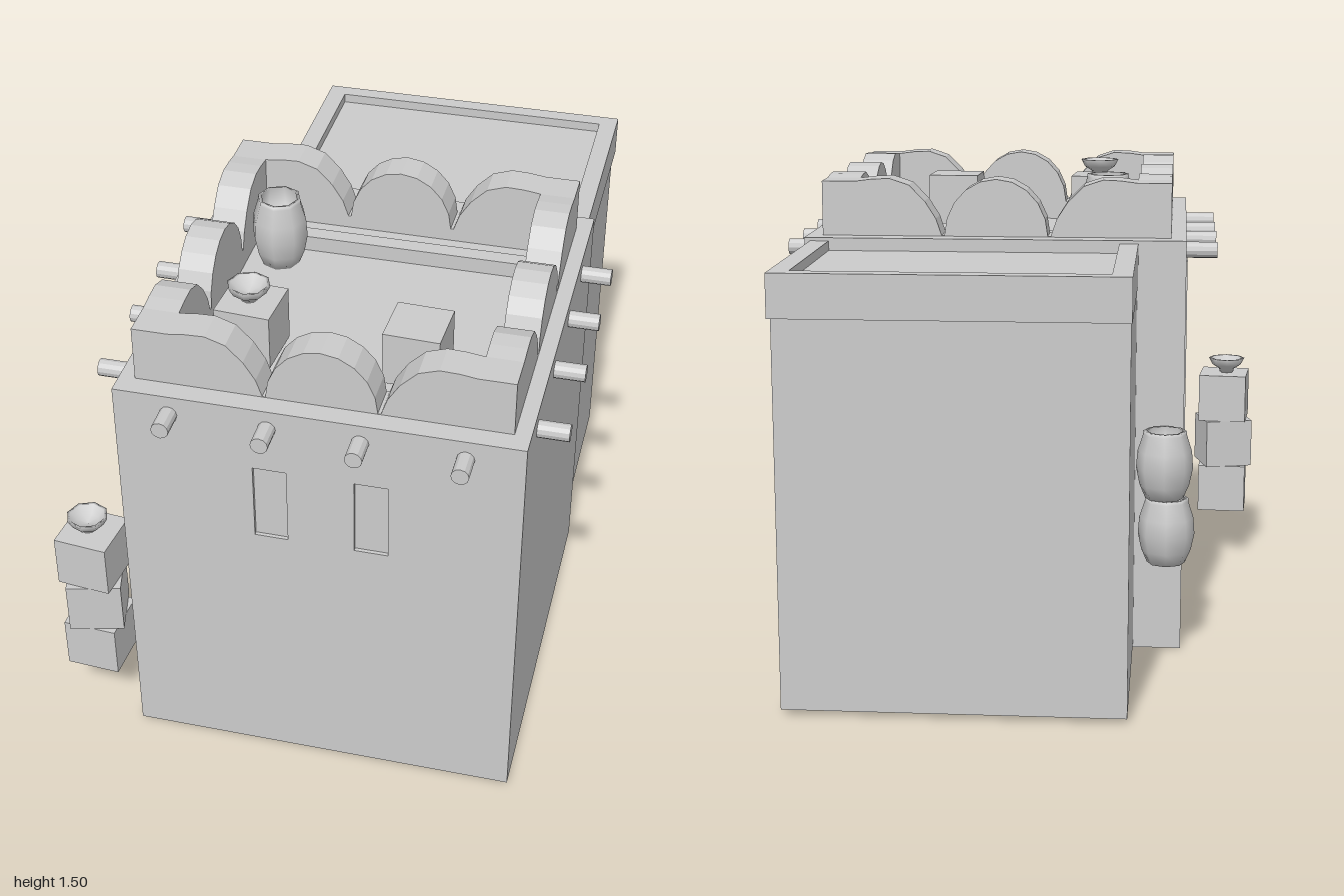
import * as THREE from 'three';

const flat = new THREE.MeshStandardMaterial({ color: 0xcccccc, flatShading: true, side: THREE.DoubleSide });
const smooth = new THREE.MeshStandardMaterial({ color: 0xcccccc, side: THREE.DoubleSide });

function add(parent, name, geometry, x = 0, y = 0, z = 0, material = flat) {
  const mesh = new THREE.Mesh(geometry, material);
  mesh.name = name;
  mesh.position.set(x, y, z);
  parent.add(mesh);
  return mesh;
}

const rect = (path, x0, y0, x1, y1) =>
  path.moveTo(x0, y0).lineTo(x1, y0).lineTo(x1, y1).lineTo(x0, y1).closePath();

// Horizontal rectangular frame, its underside at y = 0
function frame(halfX, halfZ, innerX, innerZ, height) {
  const shape = rect(new THREE.Shape(), -halfX, -halfZ, halfX, halfZ);
  shape.holes.push(rect(new THREE.Path(), -innerX, -innerZ, innerX, innerZ));
  return new THREE.ExtrudeGeometry(shape, { depth: height, bevelEnabled: false }).rotateX(-Math.PI / 2);
}

// Thin upright wall facing +z, with shallow recessed openings [x0, y0, x1, y1]
const THIN = 0.012;
function wall(name, half, height, openings) {
  const group = new THREE.Group();
  group.name = name;
  const shape = rect(new THREE.Shape(), -half, 0, half, height);
  for (const o of openings) {
    shape.holes.push(rect(new THREE.Path(), ...o));
    add(group, 'windowPane', new THREE.PlaneGeometry(o[2] - o[0], o[3] - o[1]),
      (o[0] + o[2]) / 2, (o[1] + o[3]) / 2, -THIN);
  }
  add(group, 'wallPanel', new THREE.ExtrudeGeometry(shape, { depth: THIN, bevelEnabled: false }), 0, 0, -THIN);
  return group;
}

// Four walls, open underneath, with a sunken roof floor
function building(name, halfX, halfZ, height, floorY, openings = {}) {
  const group = new THREE.Group();
  group.name = name;
  ['frontWall', 'leftWall', 'backWall', 'rightWall'].forEach((side, i) => {
    const across = i % 2 ? halfZ : halfX, out = i % 2 ? halfX : halfZ;
    const w = wall(side, across, height, openings[side] || []);
    const a = i * Math.PI / 2;
    w.rotation.y = a;
    w.position.set(Math.sin(a) * out, 0, Math.cos(a) * out);
    group.add(w);
  });
  add(group, 'roofFloor', new THREE.PlaneGeometry(halfX * 2 - 0.02, halfZ * 2 - 0.02).rotateX(-Math.PI / 2), 0, floorY, 0);
  return group;
}

// One scalloped parapet side, mitred at both ends
const OUT = 0.55, IN = 0.443, NOTCH = 0.163, RISE = 0.18;
function parapetSide() {
  const right = [[0.172, 0], [0.19, 0.055], [0.225, 0.11], [0.275, 0.16], [0.335, 0.18], [0.39, 0.178], [IN, 0.171], [OUT, 0.171]];
  const middle = [];
  for (let i = 1; i < 10; i++) {
    const a = Math.PI * i / 10;
    middle.push([-NOTCH * Math.cos(a), RISE * Math.sin(a)]);
  }
  const top = [...right.map(([x, y]) => [-x, y]).reverse(), [-NOTCH, 0], ...middle, [NOTCH, 0], ...right];
  const points = [[-OUT, -0.004], ...top.map(([x, y]) => [x, Math.max(y, 0.002)]), [OUT, -0.004]];
  const geo = new THREE.ExtrudeGeometry(new THREE.Shape(points.map(p => new THREE.Vector2(...p))),
    { depth: OUT - IN, bevelEnabled: false });
  const pos = geo.attributes.position;
  for (let i = 0; i < pos.count; i++) {
    if (pos.getZ(i) < 0.01) pos.setX(i, THREE.MathUtils.clamp(pos.getX(i), -IN, IN));
  }
  geo.computeVertexNormals();
  return geo.translate(0, 0, IN);
}

const lathe = points => new THREE.LatheGeometry(points.map(p => new THREE.Vector2(...p)), 8);
const vase = h => lathe([[0, 0], [0.06, 0], [0.078, 0.2 * h], [0.089, 0.45 * h], [0.085, 0.7 * h],
  [0.068, 0.95 * h], [0.068, h], [0.057, h], [0.07, 0.7 * h], [0, 0.5 * h]]);
const bowl = () => lathe([[0, 0], [0.025, 0], [0.027, 0.012], [0.052, 0.028], [0.065, 0.053], [0.055, 0.053], [0.035, 0.03], [0, 0.02]]);

export function createModel() {
  const model = new THREE.Group();
  model.name = 'flatRoofedHouse';
  const CX = 0.0775, CZ = 0.305;

  // Main block; the right wall's local x runs towards +z
  const main = building('mainBlock', 0.5975, 0.615, 1.32, 1.26, {
    frontWall: [[-0.19, 0.86, -0.09, 1.11], [0.11, 0.86, 0.21, 1.11]],
    rightWall: [[-0.265, 0.84, -0.175, 1.1]],
  });
  main.position.set(CX, 0, CZ);
  add(main, 'roofLedge', frame(0.5975, 0.615, IN, IN, 0.062), 0, 1.258, 0);
  for (let i = 0; i < 4; i++) {
    add(main, 'scallopedParapet', parapetSide(), 0, 1.32, 0).rotation.y = i * Math.PI / 2;
  }
  model.add(main);
  add(model, 'door', new THREE.BoxGeometry(0.04, 0.61, 0.31), -0.508, 0.845, 0.615);

  // Rear block, running a little way into the main one
  const rear = building('rearBlock', 0.508, 0.4875, 1.24, 1.265);
  rear.position.set(0.14, 0.015, -0.4975);
  model.add(rear);
  add(model, 'rearRoofTrim', frame(0.514, 0.4975, 0.455, 0.445, 0.13), 0.143, 1.18, -0.5025);

  // Round roof beams poking out of three walls
  const beam = (x, z, axis) => {
    const geo = new THREE.CylinderGeometry(0.026, 0.026, 0.12, 12);
    axis === 'x' ? geo.rotateZ(Math.PI / 2) : geo.rotateX(Math.PI / 2);
    add(model, 'roofBeam', geo, x, 1.26, z);
  };
  for (const x of [-0.355, -0.065, 0.205, 0.505]) beam(x, 0.94, 'z');
  for (const z of [0.735, 0.445, 0.178, -0.075]) beam(0.708, z, 'x');
  for (const z of [0.75, 0.465, 0.215, -0.06]) beam(-0.56, z, 'x');

  // Crates on the roof
  const crate = (x, y, z, turn) =>
    (add(model, 'crate', new THREE.BoxGeometry(0.17, 0.17, 0.17), x, y, z).rotation.y = turn);
  crate(-0.21, 1.355, 0.56, -0.07);
  crate(0.29, 1.355, 0.56, -0.04);
  add(model, 'roofBowl', bowl(), -0.215, 1.44, 0.56, smooth);
  add(model, 'roofVase', vase(0.23), -0.262, 1.26, 0.07, smooth);

  // Crate stack with a bowl beside the door
  [-0.06, 0.25, -0.1].forEach((turn, i) => crate(-0.672, 0.26 + i * 0.17, 0.825, turn));
  add(model, 'stackBowl', bowl(), -0.68, 0.686, 0.825, smooth);

  // Two vases, one on the other, in the rear corner
  add(model, 'lowerVase', vase(0.21), -0.47, 0.31, -0.38, smooth);
  add(model, 'upperVase', vase(0.215), -0.462, 0.52, -0.38, smooth);

  return model;
}
